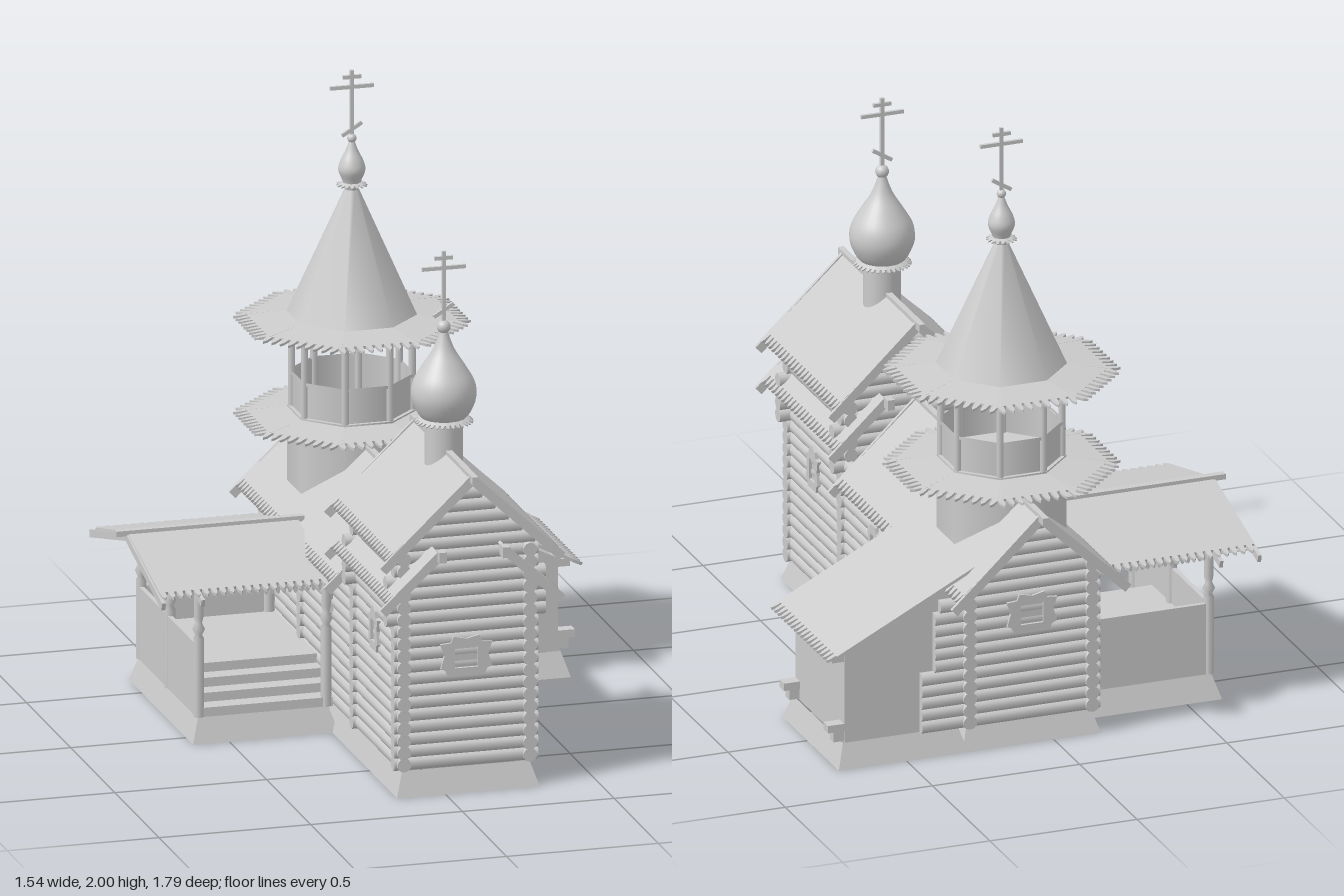
import * as THREE from 'three';

const MAT = new THREE.MeshStandardMaterial({ color: 0xcccccc, side: THREE.DoubleSide });
const CX = 0.075, TZ = -0.51, DZ = 0.53, PITCH = 0.91, PZ = -0.285;
const OCT = 1 / Math.cos(Math.PI / 8);

export function createModel() {
  const model = new THREE.Group();
  const add = (name, geo, x = 0, y = 0, z = 0) => {
    const m = new THREE.Mesh(geo, MAT);
    m.name = name;
    m.position.set(x, y, z);
    model.add(m);
    return m;
  };
  const box = (name, x0, x1, y0, y1, z0, z1) =>
    add(name, new THREE.BoxGeometry(x1 - x0, y1 - y0, z1 - z0), (x0 + x1) / 2, (y0 + y1) / 2, (z0 + z1) / 2);
  const extrude = (pts, depth) => new THREE.ExtrudeGeometry(
    new THREE.Shape(pts.map(p => new THREE.Vector2(...p))), { depth, bevelEnabled: false });
  const octagon = (name, top, bottom, y0, y1, open = false) =>
    add(name, new THREE.CylinderGeometry(top * OCT, bottom * OCT, y1 - y0, 8, 1, open).rotateY(Math.PI / 8), CX, (y0 + y1) / 2, TZ);
  const beam = (name, a, b, w = 0.016, h = 0.016) => {
    const A = new THREE.Vector3(...a), B = new THREE.Vector3(...b);
    const m = add(name, new THREE.BoxGeometry(w, h, A.distanceTo(B)));
    m.position.copy(A).lerp(B, 0.5);
    m.lookAt(B);
  };

  // Sloping plank panel with a toothed lower edge; 'angle' is the downhill heading
  const panel = (name, top, angle, run, drop, w1, w2, thick = 0.01, tooth = 0.035, pitch = 0.028) => {
    const D = Math.hypot(run, drop), n = Math.round(w2 / pitch), s = w2 / n, pts = [[w1 / 2, 0]];
    for (let i = 0; i < n; i++) {
      const u = w2 / 2 - i * s;
      pts.push([u, D - tooth], [u - 0.1 * s, D - 0.3 * tooth], [u - 0.35 * s, D],
        [u - 0.6 * s, D - 0.3 * tooth], [u - 0.7 * s, D - tooth]);
    }
    pts.push([-w2 / 2, D - tooth], [-w1 / 2, 0]);
    const c = Math.cos(angle), sn = Math.sin(angle);
    const u = new THREE.Vector3(-sn, 0, c), v = new THREE.Vector3(c * run, -drop, sn * run).normalize();
    const geo = extrude(pts, thick);
    geo.applyMatrix4(new THREE.Matrix4().makeBasis(u, v, u.clone().cross(v)));
    add(name, geo, ...top);
  };

  // Wall of stacked round logs along x or z; span(y) gives the two ends
  const logs = (name, axis, at, y0, y1, span) => {
    for (let y = y0 + 0.02; y < y1; y += 0.04) {
      const [a, b] = span(y);
      if (b - a < 0.01) continue;
      const geo = new THREE.CylinderGeometry(0.023, 0.023, b - a, 10), mid = (a + b) / 2;
      if (axis === 'x') add(name, geo.rotateZ(Math.PI / 2), mid, y, at);
      else add(name, geo.rotateX(Math.PI / 2), at, y, mid);
    }
  };

  // Flared plinths, open at top and bottom
  const plinth = (name, x0, x1, z0, z1) => {
    const geo = new THREE.BoxGeometry(x1 - x0, 0.08, z1 - z0), p = geo.attributes.position;
    for (let i = 0; i < p.count; i++) if (p.getY(i) > 0) {
      p.setX(i, p.getX(i) - Math.sign(p.getX(i)) * 0.025);
      p.setZ(i, p.getZ(i) - Math.sign(p.getZ(i)) * 0.03);
    }
    const idx = Array.from(geo.index.array);
    geo.setIndex([...idx.slice(0, 12), ...idx.slice(24)]);
    geo.computeVertexNormals();
    add(name, geo, (x0 + x1) / 2, 0.04, (z0 + z1) / 2);
  };
  plinth('mainPlinth', -0.16, 0.31, -0.775, 0.81);
  plinth('annexPlinth', 0.29, 0.73, -0.775, -0.28);
  plinth('porchPlinth', -0.62, -0.14, -0.65, 0.08);

  // Log walls and gables
  const gable = (peak, right = () => 0.03) => y => {
    const hw = (peak - 0.02 - y) / PITCH, ext = y > 0.56 && y < 0.72 ? 0.055 : 0.03;
    return [Math.max(-0.13 - ext, CX - hw), Math.min(0.285 + Math.max(ext, right(y)), CX + hw)];
  };
  const longEnds = y => (y < 0.28 ? 0.16 : y < 0.5 ? 0.115 : 0.03);
  logs('frontGableWall', 'x', 0.76, 0.08, 1.02, gable(1.05));
  logs('chapelRearGable', 'x', 0.29, 0.08, 1.02, gable(1.05));
  logs('naveCrossWall', 'x', -0.31, 0.08, 0.5, gable(1.05, longEnds));
  logs('backGableWall', 'x', -0.75, 0.08, 0.78, gable(0.8, y => longEnds(y)));
  for (const x of [-0.13, 0.285]) {
    logs('chapelSideWall', 'z', x, 0.08, 0.82, () => [0.26, 0.79]);
    logs('naveSideWall', 'z', x, 0.08, 0.6, () => [-0.78, 0.29]);
  }

  // Gable roofs: two tiers over the chapel, one over the nave
  const roofPair = (name, y, dx, run, drop, z0, z1) => {
    for (const s of [-1, 1]) {
      const x = CX + s * dx, len = z1 - z0;
      panel(name, [x, y, (z0 + z1) / 2], s > 0 ? 0 : Math.PI, run, drop, len, len);
      for (const z of [z0, z1]) beam(name + 'Bargeboard', [x, y, z], [x + s * (run + 0.015), y - drop * (run + 0.015) / run - 0.01, z], 0.012, 0.03);
    }
  };
  roofPair('chapelUpperRoof', 1.05, 0, 0.28, 0.255, 0.22, 0.855);
  roofPair('chapelLowerRoof', 0.81, 0.105, 0.175, 0.155, 0.22, 0.855);
  roofPair('naveRoof', 0.795, 0, 0.28, 0.255, -0.855, 0.22);
  beam('chapelRidge', [CX, 1.055, 0.18], [CX, 1.055, 0.89], 0.02, 0.025);
  beam('naveRidge', [CX, 0.8, 0.25], [CX, 0.8, -0.9], 0.02, 0.025);
  for (const x of [CX - 0.105, CX + 0.105]) for (const z of [0.2, 0.865])
    box('purlinEnd', x - 0.012, x + 0.012, 0.79, 0.825, z - 0.02, z + 0.02);

  // Carved window frames with a recessed pane
  const windowFrame = (name, w, h, peak, x, y, z, rot) => {
    const g = new THREE.Group(), a = w / 2;
    g.name = name;
    const half = [[a * 0.7, 0], [a * 0.8, h * 0.15], [a, h * 0.2], [a * 0.85, h * 0.5], [a, h * 0.78], [a * 0.6, h * 0.8], [a * 0.5, h * 0.95]];
    const shape = new THREE.Shape([...half, [0, h * peak], ...half.map(([p, q]) => [-p, q]).reverse()].map(p => new THREE.Vector2(...p)));
    shape.holes.push(new THREE.Path([[-a * 0.45, h * 0.2], [-a * 0.45, h * 0.7], [a * 0.45, h * 0.7], [a * 0.45, h * 0.2]].map(p => new THREE.Vector2(...p))));
    const frame = new THREE.Mesh(new THREE.ExtrudeGeometry(shape, { depth: 0.012, bevelEnabled: false }), MAT);
    const pane = new THREE.Mesh(new THREE.BoxGeometry(w * 0.5, h * 0.55, 0.006), MAT);
    pane.position.y = h * 0.45;
    g.add(frame, pane);
    g.position.set(x, y, z);
    g.rotation.y = rot;
    model.add(g);
  };
  windowFrame('frontWindow', 0.17, 0.14, 0.88, CX, 0.38, 0.777, 0);
  windowFrame('backWindow', 0.17, 0.14, 0.88, CX, 0.38, -0.767, Math.PI);
  for (const [x, r] of [[0.302, Math.PI / 2], [-0.147, -Math.PI / 2]]) {
    windowFrame('chapelSideWindow', 0.1, 0.14, 1.05, x, 0.41, DZ, r);
    windowFrame('naveSideWindow', 0.09, 0.13, 0.95, x, 0.36, 0, r);
  }

  // Lean-to annex
  const lean = [[0.29, 0.08], [0.7, 0.08], [0.7, 0.385], [0.29, 0.59]];
  for (const z of [-0.335, -0.745]) add('annexEndWall', extrude(lean, 0.015), 0, 0, z);
  box('annexOuterWall', 0.685, 0.7, 0.08, 0.39, -0.745, -0.32);
  panel('annexRoof', [0.25, 0.63, -0.525], 0, 0.515, 0.262, 0.51, 0.51);
  for (const z of [-0.34, -0.725]) {
    box('annexSillEnd', 0.68, 0.755, 0.12, 0.145, z - 0.02, z + 0.02);
    box('annexSillBlock', 0.68, 0.735, 0.085, 0.12, z - 0.016, z + 0.016);
    box('annexPlateEnd', 0.68, 0.74, 0.355, 0.38, z - 0.016, z + 0.016);
  }

  // Porch: steps, parapets, turned posts and shallow gable roof
  for (let i = 0; i < 4; i++) box('porchStep', -0.585, -0.15, 0.08 + i * 0.03, 0.11 + i * 0.03, i < 3 ? -0.01 - i * 0.06 : -0.61, 0.05 - i * 0.06);
  box('porchBackParapet', -0.595, -0.15, 0.08, 0.32, -0.62, -0.605);
  box('porchSideParapet', -0.6, -0.585, 0.08, 0.32, -0.62, 0.05);
  const post = [[0.017, 0.08], [0.017, 0.34], [0.011, 0.35], [0.02, 0.37], [0.011, 0.39], [0.015, 0.41], [0.015, 0.5]];
  for (const z of [-0.61, PZ, 0.04]) for (const x of z === PZ ? [-0.59] : [-0.59, -0.17])
    add('porchPost', new THREE.LatheGeometry(post.map(p => new THREE.Vector2(...p)), 10), x, 0, z);
  for (const s of [-1, 1]) {
    const z = PZ + s * 0.325;
    panel('porchRoof', [-0.45, 0.595, PZ], s * Math.PI / 2, 0.395, 0.1, 0.56, 0.56);
    box('porchPlate', -0.68, -0.15, 0.488, 0.51, z - 0.012, z + 0.012);
    panel('porchValance', [-0.385, 0.49, z], s * Math.PI / 2, 0, 0.025, 0.41, 0.41, 0.006, 0.015, 0.02);
    for (const x of [-0.73, -0.6]) beam('porchRafter', [x, 0.59, PZ], [x, 0.48, PZ + s * 0.41], 0.012, 0.025);
  }
  box('porchTieBeam', -0.6, -0.58, 0.488, 0.51, -0.62, 0.05);
  beam('porchRidge', [-0.77, 0.605, PZ], [-0.15, 0.605, PZ], 0.025, 0.018);

  // Octagonal bell tower
  octagon('towerBase', 0.19, 0.19, 0.52, 0.87);
  octagon('belfryFloor', 0.19, 0.19, 0.87, 0.885);
  octagon('belfryParapet', 0.178, 0.178, 0.88, 1.0, true);
  octagon('belfryRail', 0.185, 0.185, 0.993, 1.003, true);
  octagon('belfryFrieze', 0.188, 0.18, 1.13, 1.17, true);
  octagon('belfryCeiling', 0.19, 0.19, 1.165, 1.19);
  octagon('tentRoof', 0.016, 0.195, 1.19, 1.62);
  for (let i = 0; i < 8; i++) {
    const a = i * Math.PI / 4, c = Math.cos(a), s = Math.sin(a), b = a + Math.PI / 8;
    add('belfryPost', new THREE.CylinderGeometry(0.012, 0.012, 0.29, 8), CX + 0.192 * Math.cos(b), 1.02, TZ + 0.192 * Math.sin(b));
    for (const [name, y] of [['lowerSkirtRoof', 0.872], ['upperSkirtRoof', 1.19]])
      panel(name, [CX + 0.185 * c, y, TZ + 0.185 * s], a, 0.17, 0.02, 0.153, 0.272, 0.008, 0.045, 0.03);
  }

  // Onion domes with three-bar crosses
  const onion = (name, z, profile, ballY, ballR, top) => {
    const curve = new THREE.SplineCurve(profile.map(p => new THREE.Vector2(...p)));
    add(name, new THREE.LatheGeometry(curve.getPoints(28), 28), CX, 0, z);
    add(name + 'Ball', new THREE.SphereGeometry(ballR, 16, 10), CX, ballY, z);
    box(name + 'CrossPole', CX - 0.006, CX + 0.006, ballY, top, z - 0.005, z + 0.005);
    for (const [dy, hw, tilt] of [[0.022, 0.03, 0], [0.055, 0.072, 0], [0.195, 0.038, 0.55]])
      box(name + 'CrossBar', CX - hw, CX + hw, top - dy - 0.006, top - dy + 0.006, z - 0.005, z + 0.005).rotation.z = tilt;
  };
  onion('chapelDome', DZ, [[0.055, 1.145], [0.085, 1.18], [0.104, 1.23], [0.098, 1.28], [0.07, 1.33], [0.038, 1.38], [0.021, 1.42], [0.012, 1.45]], 1.46, 0.022, 1.71);
  onion('towerDome', TZ, [[0.02, 1.6], [0.03, 1.635], [0.043, 1.67], [0.037, 1.7], [0.02, 1.735], [0.009, 1.765]], 1.775, 0.015, 2.0);
  add('chapelDrum', new THREE.CylinderGeometry(0.061, 0.061, 0.2, 24), CX, 1.055, DZ);
  for (let i = 0; i < 16; i++) {
    const a = i * Math.PI / 8, c = Math.cos(a), s = Math.sin(a);
    panel('drumCollar', [CX + 0.055 * c, 1.168, DZ + 0.055 * s], a, 0.038, 0.022, 0.022, 0.034, 0.004, 0.014, 0.017);
    if (i % 2) panel('towerNeckCollar', [CX + 0.018 * c, 1.63, TZ + 0.018 * s], a, 0.03, 0.012, 0.015, 0.034, 0.004, 0.012, 0.017);
  }
  return model;
}
